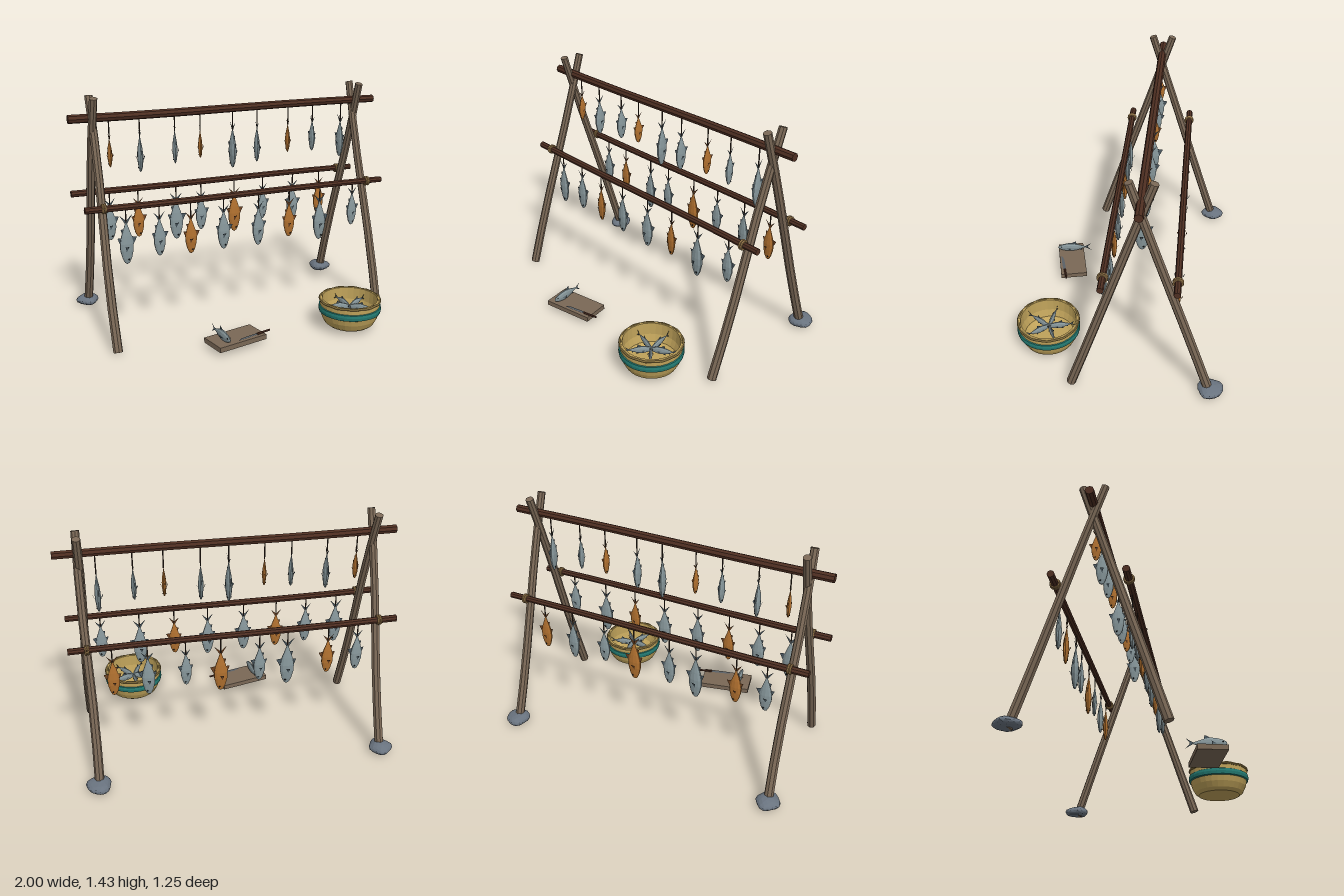
import * as THREE from 'three';

const mat = (color, side = THREE.FrontSide) => new THREE.MeshStandardMaterial({ color, flatShading: true, side });
const wood = mat(0x7a6856), darkWood = mat(0x4f2f22), rope = mat(0x9a7a4c), stone = mat(0x69737f);
const silver = mat(0x87979b), dried = mat(0xb0702f), black = mat(0x15181b), steel = mat(0x5a6066);
const clay = mat(0xbfa25a), teal = mat(0x237a72), rimMat = mat(0x8a7440), twine = mat(0x3a2c22);
const silverFin = mat(0x4c5a62, THREE.DoubleSide), driedFin = mat(0x6e4424, THREE.DoubleSide);
const V = (x, y, z) => new THREE.Vector3(x, y, z);

function add(parent, name, geometry, material, x = 0, y = 0, z = 0) {
  const m = new THREE.Mesh(geometry, material);
  m.name = name;
  m.position.set(x, y, z);
  parent.add(m);
  return m;
}

// Slightly bent, tapered log from a to b
function log(parent, name, a, b, r0, r1, bend, material) {
  const d = b.clone().sub(a), len = d.length();
  const g = new THREE.CylinderGeometry(r1, r0, len, 8, 6);
  const p = g.attributes.position;
  for (let i = 0; i < p.count; i++) {
    const t = p.getY(i) / len + 0.5;
    p.setX(i, p.getX(i) + bend * Math.sin(t * Math.PI * 2));
  }
  const m = add(parent, name, g, material);
  m.position.copy(a).add(b).multiplyScalar(0.5);
  m.quaternion.setFromUnitVectors(V(0, 1, 0), d.normalize());
  return m;
}

const flat = (pts) => new THREE.ShapeGeometry(new THREE.Shape(pts.map(([x, y]) => new THREE.Vector2(x, y))));

// Unit fish hanging nose down: tail tips at y = 0, nose at y = -1
const bodyGeo = new THREE.LatheGeometry(
  [[0, -1], [0.05, -0.97], [0.095, -0.88], [0.135, -0.72], [0.14, -0.58], [0.105, -0.42], [0.055, -0.28], [0.018, -0.17], [0, -0.16]]
    .map(([x, y]) => new THREE.Vector2(x, y)), 10).scale(1, 1, 0.45);
const tailGeo = flat([[0, -0.22], [0.05, -0.13], [0.13, 0], [0.02, -0.1], [-0.02, -0.1], [-0.13, 0], [-0.05, -0.13]]);
const dorsalGeo = flat([[0.12, -0.64], [0.21, -0.46], [0.09, -0.44]]);
const bellyGeo = flat([[-0.12, -0.62], [-0.1, -0.46], [-0.18, -0.46]]);
const analGeo = flat([[-0.08, -0.4], [-0.04, -0.28], [-0.11, -0.29]]);
const sideFinGeo = flat([[0, 0], [0.05, 0.13], [-0.03, 0.12]]);
const eyeGeo = new THREE.SphereGeometry(0.018, 6, 5);

function fish(parent, length, isDried) {
  const g = new THREE.Group();
  g.name = isDried ? 'driedFish' : 'silverFish';
  const fin = isDried ? driedFin : silverFin;
  add(g, 'fishBody', bodyGeo, isDried ? dried : silver);
  add(g, 'tailFin', tailGeo, fin);
  add(g, 'backFin', dorsalGeo, fin);
  add(g, 'bellyFin', bellyGeo, fin);
  add(g, 'rearFin', analGeo, fin);
  for (const s of [-1, 1]) {
    add(g, 'sideFin', sideFinGeo, fin, -0.02, -0.74, s * 0.058).rotation.x = s * 0.35;
    add(g, 'eye', eyeGeo, black, 0.03, -0.9, s * 0.036);
  }
  g.scale.setScalar(length);
  parent.add(g);
  return g;
}

// Row of fish on twine; items are [x, nose height, length, dried, turn]
function hangRow(parent, name, railY, z, turn, items) {
  const row = new THREE.Group();
  row.name = name;
  for (const [x, nose, length, isDried, twist = 0] of items) {
    const f = fish(row, length, isDried);
    f.position.set(x, nose + length, z);
    f.rotation.y = turn + twist;
    const low = nose + length * 0.85;
    add(row, 'twine', new THREE.CylinderGeometry(0.004, 0.004, railY - low, 5), twine, x, (railY + low) / 2, z);
  }
  parent.add(row);
}

// Fish lying on its belly, nose towards local +x
function layFish(parent, length, x, y, z, yaw, pitch) {
  const holder = new THREE.Group();
  holder.name = 'lyingFish';
  holder.position.set(x, y, z);
  holder.rotation.y = yaw;
  fish(holder, length, 0).rotation.z = Math.PI / 2 + pitch;
  parent.add(holder);
}

function makeStone(parent, x, z, seed) {
  const g = new THREE.IcosahedronGeometry(1, 2), p = g.attributes.position;
  for (let i = 0; i < p.count; i++) {
    const v = V(p.getX(i), p.getY(i), p.getZ(i));
    const k = 1 + 0.06 * Math.sin(v.x * 4 + seed) + 0.05 * Math.sin(v.z * 5 + seed * 2);
    p.setXYZ(i, v.x * k * 0.073, Math.max(v.y, -0.7) * k * 0.034, v.z * k * 0.075);
  }
  g.computeVertexNormals();
  add(parent, 'footStone', g, stone, x, 0.033, z);
}

function makeBowl(parent) {
  const bowl = new THREE.Group();
  bowl.name = 'bowl';
  bowl.position.set(0.55, 0, 0.43);
  const lathe = (pts) => new THREE.LatheGeometry(pts.map(([x, y]) => new THREE.Vector2(x, y)), 28);
  add(bowl, 'bowlShell', lathe([[0, 0.028], [0.13, 0.028], [0.152, 0.045], [0.17, 0.08], [0.181, 0.12], [0.183, 0.195],
    [0.168, 0.195], [0.165, 0.12], [0.15, 0.075], [0.12, 0.055], [0, 0.055]]), clay);
  add(bowl, 'bowlBand', lathe([[0.176, 0.112], [0.188, 0.118], [0.191, 0.137], [0.188, 0.153], [0.178, 0.158]]), teal);
  // Gently wavy rim
  const rim = new THREE.TorusGeometry(0.181, 0.009, 6, 48).rotateX(Math.PI / 2), p = rim.attributes.position;
  for (let i = 0; i < p.count; i++)
    p.setY(i, p.getY(i) + 0.002 * Math.sin(12 * Math.atan2(p.getZ(i), p.getX(i))));
  add(bowl, 'bowlRim', rim, rimMat, 0, 0.189, 0);
  for (let i = 0; i < 5; i++) {
    const a = -1.45 + i * Math.PI * 0.4;
    layFish(bowl, 0.17, -0.162 * Math.cos(a), 0.155, 0.162 * Math.sin(a), a, -0.12);
  }
  parent.add(bowl);
}

function makeBoard(parent) {
  const g = new THREE.Group();
  g.name = 'cuttingBoard';
  add(g, 'board', new THREE.BoxGeometry(0.325, 0.03, 0.172), wood, -0.195, 0.045, 0.402).rotation.y = 0.22;
  layFish(g, 0.23, -0.3, 0.09, 0.285, -1.44, 0);
  const knife = new THREE.Group();
  knife.name = 'knife';
  knife.position.set(-0.07, 0.066, 0.436);
  knife.rotation.y = 0.275;
  const blade = flat([[0, -0.009], [0, 0.009], [-0.11, 0.009], [-0.145, -0.005], [-0.11, -0.009]]);
  const bladeMat = steel.clone();
  bladeMat.side = THREE.DoubleSide;
  add(knife, 'blade', blade, bladeMat).rotation.x = -Math.PI / 2;
  add(knife, 'handle', new THREE.CylinderGeometry(0.007, 0.006, 0.095, 6), darkWood, 0.047, 0, 0).rotation.z = Math.PI / 2;
  g.add(knife);
  parent.add(g);
}

export function createModel() {
  const root = new THREE.Group();
  root.name = 'fishDryingRack';

  // A-frame legs and stones under the rear feet
  for (const s of [-1, 1]) {
    const x = s * 0.86;
    log(root, 'frontLeg', V(x, 0.01, 0.25), V(x, 1.425, -0.212), 0.028, 0.024, s * 0.006, wood);
    log(root, 'rearLeg', V(x, 0.01, -0.55), V(x, 1.425, -0.085), 0.028, 0.024, -s * 0.005, wood);
    makeStone(root, s * 0.863, -0.553, 2 + s);
  }

  // Ridge beam and side rails with rope bindings
  log(root, 'ridgeBeam', V(-1, 1.305, -0.147), V(1, 1.315, -0.147), 0.026, 0.024, 0.003, darkWood);
  for (const z of [0.052, -0.345]) {
    log(root, 'sideRail', V(-0.97, 0.814, z), V(0.966, 0.816, z), 0.021, 0.019, 0.003, darkWood);
    for (const x of [-0.86, 0.86])
      for (const o of [-0.007, 0.007])
        add(root, 'ropeBinding', new THREE.TorusGeometry(0.024, 0.007, 6, 14), rope, x + o, 0.815, z).rotation.y = Math.PI / 2;
  }

  hangRow(root, 'ridgeFish', 1.3, -0.147, Math.PI / 2, [
    [-0.765, 1.005, 0.2, 1, 0.1], [-0.582, 0.96, 0.26, 0], [-0.365, 0.995, 0.235, 0, -0.1], [-0.203, 1.015, 0.2, 1, -0.15],
    [0.01, 0.935, 0.29, 0, 0.1], [0.175, 0.96, 0.255, 0, -0.1], [0.388, 1.005, 0.21, 1, -0.1], [0.562, 1, 0.225, 0, 0.12],
    [0.767, 0.945, 0.275, 0, 0.1]]);
  hangRow(root, 'frontRailFish', 0.81, 0.052, 0, [
    [-0.735, 0.465, 0.3, 0], [-0.535, 0.49, 0.27, 0, 0.1], [-0.34, 0.48, 0.26, 1, -0.1], [-0.13, 0.48, 0.28, 0],
    [0.1, 0.475, 0.28, 0, 0.12], [0.31, 0.505, 0.25, 1, -0.1], [0.525, 0.46, 0.3, 0], [0.76, 0.53, 0.25, 0, 0.1]]);
  hangRow(root, 'rearRailFish', 0.81, -0.345, 0, [
    [-0.735, 0.49, 0.27, 0, 0.1], [-0.553, 0.49, 0.26, 1], [-0.303, 0.445, 0.31, 0, -0.1], [-0.133, 0.49, 0.26, 0],
    [0.1, 0.45, 0.3, 1], [0.305, 0.515, 0.24, 0, 0.1], [0.525, 0.48, 0.28, 0, -0.1], [0.725, 0.5, 0.26, 1]]);

  makeBowl(root);
  makeBoard(root);
  return root;
}
